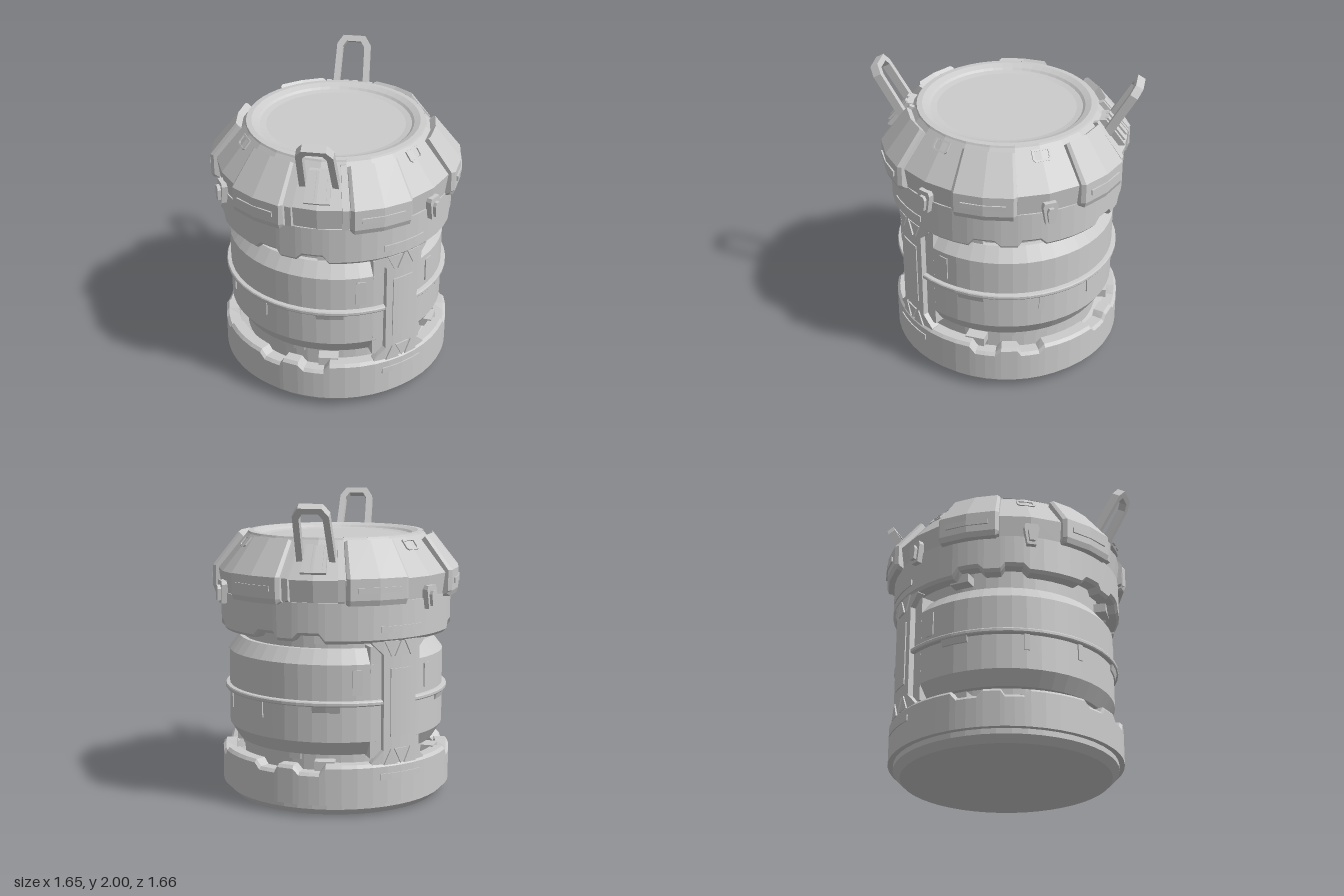
import * as THREE from 'three';

const MID = 0.73; // height about which both collars mirror
const OFF = -13.5; // angular phase of the lid pattern
const rad = THREE.MathUtils.degToRad;
const mat = new THREE.MeshStandardMaterial({ color: 0xcccccc, flatShading: true, side: THREE.DoubleSide });

function mesh(name, geo, parent) {
  const m = new THREE.Mesh(geo, mat);
  m.name = name;
  parent.add(m);
  return m;
}

function lathe(name, pts, parent, sides = 48, start = 0) {
  const v = pts.map(p => new THREE.Vector2(p[0], p[1]));
  return mesh(name, new THREE.LatheGeometry(v, sides, rad(start)), parent);
}

// Joins convex (radius, height) loops standing at given angles: [[deg, loop], ...]
function loft(name, secs, parent, closed = false) {
  const pos = [];
  const pt = (s, j) => {
    const [r, y] = s[1][j % s[1].length], a = rad(s[0]);
    return [r * Math.sin(a), y, r * Math.cos(a)];
  };
  const tri = (a, b, c) => pos.push(...a, ...b, ...c);
  const n = secs[0][1].length, last = secs[secs.length - 1];
  for (let i = 0; i + 1 < secs.length; i++) {
    for (let j = 0; j < n; j++) {
      const a = pt(secs[i], j), b = pt(secs[i + 1], j), c = pt(secs[i + 1], j + 1), d = pt(secs[i], j + 1);
      tri(a, b, c);
      tri(a, c, d);
    }
  }
  if (!closed) {
    for (let j = 1; j + 1 < n; j++) {
      tri(pt(secs[0], 0), pt(secs[0], j), pt(secs[0], j + 1));
      tri(pt(last, 0), pt(last, j + 1), pt(last, j));
    }
  }
  const g = new THREE.BufferGeometry();
  g.setAttribute('position', new THREE.Float32BufferAttribute(pos, 3));
  g.computeVertexNormals();
  return mesh(name, g, parent);
}

// Constant section swept between two angles
function arc(name, a0, a1, loop, parent, steps = 4) {
  const secs = [];
  for (let i = 0; i <= steps; i++) secs.push([a0 + (a1 - a0) * i / steps, loop]);
  return loft(name, secs, parent);
}
const rect = (r0, r1, lo, hi) => [[r0, lo], [r1, lo], [r1, hi], [r0, hi]];
const flipY = loop => loop.map(([r, y]) => [r, 2 * MID - y]).reverse();

// Flat outline extruded outward from radius r at angle deg
function badge(name, pts, deg, r, y, depth, parent, hole) {
  const shape = new THREE.Shape(pts.map(p => new THREE.Vector2(...p)));
  if (hole) shape.holes.push(new THREE.Path(hole.map(p => new THREE.Vector2(...p))));
  const m = mesh(name, new THREE.ExtrudeGeometry(shape, { depth, bevelEnabled: false }), parent);
  m.position.set(r * Math.sin(rad(deg)), y, r * Math.cos(rad(deg)));
  m.rotation.set(0, rad(deg), 0, 'YXZ');
  return m;
}
const box = (w, h) => [[-w / 2, -h / 2], [w / 2, -h / 2], [w / 2, h / 2], [-w / 2, h / 2]];

// Collar edge over a quarter turn: [deg, height]
const EDGE = [[0, 0.34], [38, 0.34], [41, 0.29], [51, 0.29], [54, 0.33], [62, 0.33],
  [64, 0.29], [73, 0.29], [76, 0.33], [90, 0.33]];

function collarSections(flip) {
  const half = [...EDGE, ...EDGE.slice(0, -1).reverse().map(([a, h]) => [180 - a, h])];
  const full = [...half, ...half.slice(1).map(([a, h]) => [a + 180, h])];
  const secs = [];
  full.forEach(([a, h], i) => {
    const [b, k] = full[i + 1] || [a, h];
    const steps = Math.max(1, Math.ceil((b - a) / 8));
    for (let s = 0; s < steps; s++) {
      const t = s / steps, y = h + (k - h) * t;
      const loop = [[0.68, 0.08], [0.77, 0.08], [0.77, y - 0.02], [0.752, y], [0.68, y]];
      secs.push([a + (b - a) * t, flip ? flipY(loop) : loop]);
    }
  });
  return secs;
}

function buildPillar(parent, a) {
  const g = new THREE.Group();
  g.name = 'pillar';
  g.rotation.y = rad(a);
  parent.add(g);
  arc('barrelBridge', -15.5, 15.5, rect(0.6, 0.72, 0.37, 1.09), g);
  arc('pillarPlate', -9.4, 9.4, rect(0.7, 0.757, 0.3, 1.16), g);
  arc('pillarInset', -5.8, 5.8, rect(0.74, 0.764, 0.51, 0.95), g);
  for (const flip of [false, true]) {
    const f = loop => (flip ? flipY(loop) : loop);
    const sy = flip ? -1 : 1;
    // flared corners joining the collar
    loft('pillarFlare', [[-15.5, f(rect(0.7, 0.757, 0.32, 0.345))], [-9.4, f(rect(0.7, 0.757, 0.32, 0.42))]], g);
    loft('pillarFlare', [[9.4, f(rect(0.7, 0.757, 0.32, 0.42))], [15.5, f(rect(0.7, 0.757, 0.32, 0.345))]], g);
    arc('collarSlot', -11.5, 11.5, f(rect(0.75, 0.777, 0.235, 0.275)), g);
    for (const k of [-1, 0, 1]) {
      const d = (k ? 1 : -1) * sy * 0.05;
      badge('pillarTriangle', [[-0.05, -d], [0.05, -d], [0, d]], k * 5.6, 0.75, MID - sy * 0.35, 0.016, g);
    }
  }
}

function buildHandle(parent, a) {
  const g = new THREE.Group();
  g.name = 'handle';
  g.rotation.y = rad(a);
  parent.add(g);
  const L = 0.43;
  const u = [[-0.125, 0], [-0.085, 0], [-0.075, 0.35], [-0.05, 0.39], [0.05, 0.39], [0.075, 0.35],
    [0.085, 0], [0.125, 0], [0.115, 0.37], [0.075, L], [-0.075, L], [-0.115, 0.37]];
  const loop = badge('handleLoop', u, 0, 0.62, 1.625, 0.055, g);
  loop.rotation.x = rad(30);
  // rails and slatted plate following the lid slope
  const rail = [[0.74, 1.37], [0.795, 1.39], [0.805, 1.53], [0.63, 1.755], [0.59, 1.74]];
  arc('handleRail', -14.5, -11.5, rail, g, 1);
  arc('handleRail', 11.5, 14.5, rail, g, 1);
  arc('handlePlate', -6, 6, [[0.68, 1.54], [0.785, 1.56], [0.79, 1.57], [0.66, 1.73], [0.6, 1.72]], g, 2);
  for (const k of [-2.8, 2.8]) {
    arc('handleSlat', k - 1.6, k + 1.6, [[0.7, 1.58], [0.79, 1.59], [0.67, 1.735], [0.62, 1.72]], g, 1);
  }
}

export function createModel() {
  const root = new THREE.Group();
  root.name = 'canister';

  // Base, inner core and barrel
  lathe('base', [[0, 0], [0.69, 0], [0.735, 0.045], [0.735, 0.1], [0.69, 0.1], [0.69, 0.22], [0.6, 0.24]], root);
  lathe('barrel', [[0.62, 0.2], [0.62, 0.385], [0.66, 0.385], [0.72, 0.48], [0.72, 0.98],
    [0.65, 1.07], [0.62, 1.07], [0.62, 1.25], [0.7, 1.26], [0.7, 1.38]], root);
  lathe('barrelRing', [[0.71, 0.71], [0.745, 0.715], [0.75, 0.722], [0.75, 0.738], [0.745, 0.745], [0.71, 0.75]], root);
  loft('lowerCollar', collarSections(false), root, true);
  loft('upperCollar', collarSections(true), root, true);

  for (const half of [0, 180]) {
    buildPillar(root, half);
    buildHandle(root, half + OFF - 30);
    arc('coreStrip', half + 54, half + 126, rect(0.6, 0.635, 0.34, 0.38), root, 10);
    for (const s of [-1, 1]) {
      badge('barrelSlot', [[-0.033, -0.08], [0.028, -0.085], [0.033, -0.075], [0.033, 0.08], [-0.025, 0.085], [-0.033, 0.075]],
        half + s * 22, 0.71, 0.865, 0.016, root);
      badge('barrelPin', box(0.036, 0.11), half + 90 + s * 15, 0.7, 0.66, 0.028, root);
      arc('ringTab', half + s * 38 - 7, half + s * 38 + 7, [[0.71, 0.67], [0.728, 0.675], [0.74, 0.715], [0.71, 0.715]], root, 2);
      for (const y of [0.32, 2 * MID - 0.32]) badge('collarTab', box(0.13, 0.06), half + s * 39, 0.61, y, 0.09, root);
    }
  }

  // Lid with a stepped top
  lathe('lid', [[0.69, 1.36], [0.765, 1.375], [0.785, 1.52], [0.592, 1.755], [0.585, 1.768]], root, 24, OFF);
  lathe('lidTop', [[0.585, 1.768], [0.55, 1.77], [0.51, 1.755], [0.495, 1.742], [0.455, 1.735], [0, 1.735]], root, 48);

  // Six raised lid panels
  const panel = d => [[0.7, 1.4], [0.75, 1.362], [0.812 - d, 1.365 + d], [0.825 - d, 1.4], [0.825 - d, 1.535],
    [0.65 - d / 2, 1.758 - d / 2], [0.61, 1.72]];
  for (let k = 0; k < 6; k++) {
    const a = OFF + 60 * k;
    loft('lidPanel', [[a - 14.8, panel(0.02)], [a - 13.2, panel(0)], [a, panel(0)],
      [a + 13.2, panel(0)], [a + 14.8, panel(0.02)]], root);
    arc('panelSlot', a - 10, a + 10, rect(0.79, 0.832, 1.445, 1.48), root, 2);
  }

  // Latches and sloped slots in the four gaps without handles
  const slot = [[-0.06, -0.025], [-0.045, -0.04], [0.045, -0.04], [0.06, -0.025], [0.06, 0.04], [-0.06, 0.04]];
  const slotHole = slot.map(([x, y]) => [x * 0.78, y * 0.7]);
  for (const a of [16.5, 76.5, 196.5, 256.5]) {
    badge('latch', [[-0.03, -0.075], [0.03, -0.075], [0.05, 0.05], [0.04, 0.075], [-0.04, 0.075], [-0.05, 0.05]],
      a, 0.75, 1.385, 0.055, root);
    badge('latchButton', [[-0.018, -0.055], [0.018, -0.055], [0.028, 0.02], [0.015, 0.045], [-0.015, 0.045], [-0.028, 0.02]],
      a, 0.79, 1.385, 0.037, root);
    const s = badge('lidSlot', slot, a, 0.622, 1.702, 0.014, root, slotHole);
    s.rotation.x = rad(-39);
  }
  return root;
}
